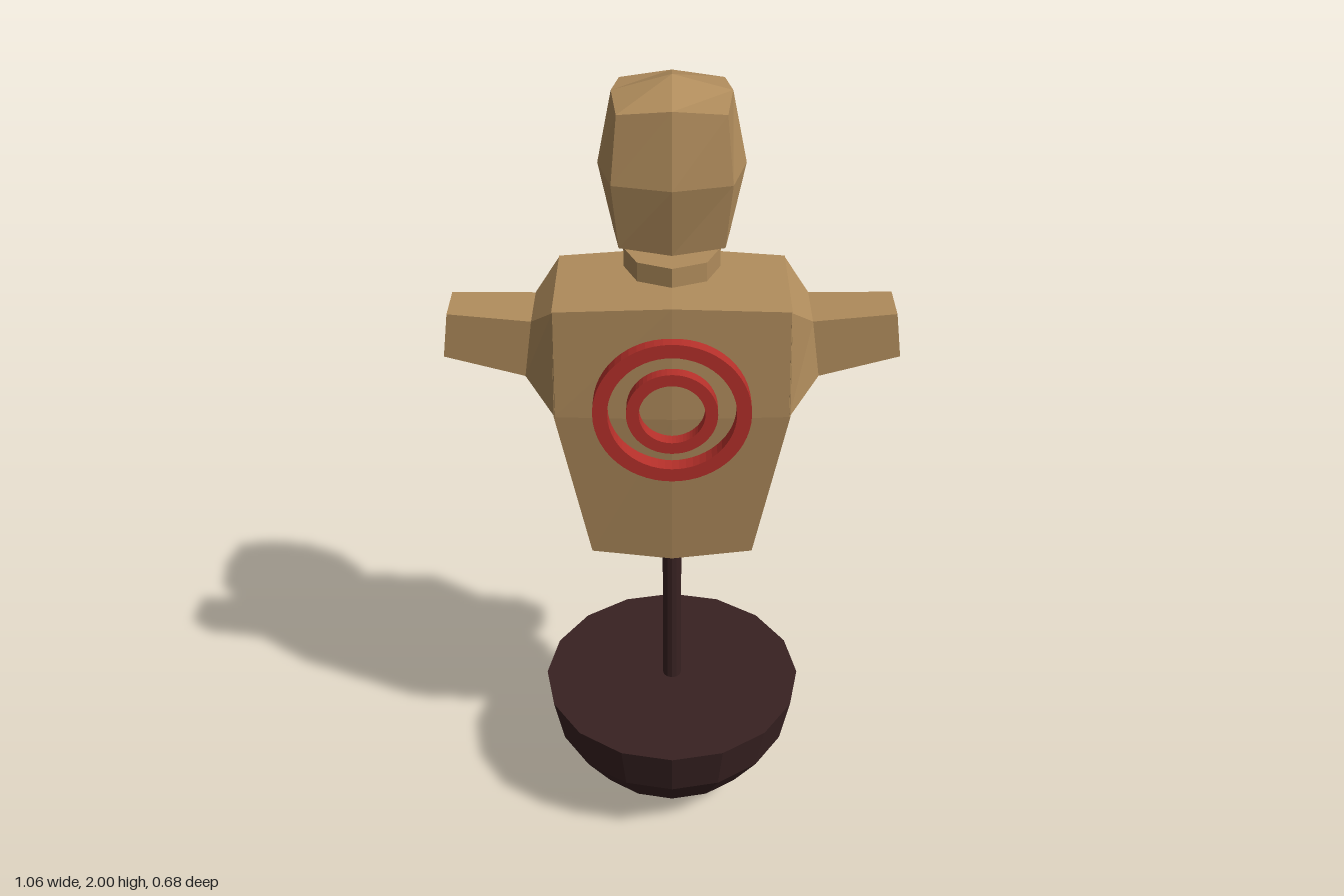
import * as THREE from 'three';

const mat = (color) => new THREE.MeshStandardMaterial({ color, flatShading: true });

// Box whose grid indices (-1, 0 or 1 on each axis) are mapped to new positions
function mappedBox(sx, sy, sz, rule) {
  const geo = new THREE.BoxGeometry(2, 2, 2, sx, sy, sz);
  const p = geo.attributes.position;
  for (let i = 0; i < p.count; i++) {
    p.setXYZ(i, ...rule(Math.round(p.getX(i)), Math.round(p.getY(i)), Math.round(p.getZ(i))));
  }
  geo.computeVertexNormals();
  return geo;
}

export function createModel() {
  const group = new THREE.Group();
  const straw = mat(0xb08c5c);
  const dark = mat(0x382222);
  const red = mat(0xb5302a);

  const add = (name, geo, material, x = 0, y = 0, z = 0) => {
    const mesh = new THREE.Mesh(geo, material);
    mesh.name = name;
    mesh.position.set(x, y, z);
    group.add(mesh);
    return mesh;
  };

  // Half-ball base with a flat lid
  const R = 0.338;
  const bowl = [];
  for (let i = 0; i <= 4; i++) {
    const a = (i * Math.PI) / 8;
    bowl.push(new THREE.Vector2(R * Math.sin(a), R * (1 - Math.cos(a))));
  }
  bowl.push(new THREE.Vector2(0, R));
  add('base', new THREE.LatheGeometry(bowl, 16), dark);

  // Pole
  add('pole', new THREE.CylinderGeometry(0.024, 0.024, 0.5, 12), dark, 0, 0.58);

  // Torso: three levels, bulging along the centre line
  const levels = [
    { w: 0.197, y: 0.83, yMid: 0.813, side: [-0.11, 0.11], mid: [-0.12, 0.12] },
    { w: 0.273, y: 1.24, yMid: 1.24, side: [-0.15, 0.145], mid: [-0.177, 0.157] },
    { w: 0.267, y: 1.51, yMid: 1.525, side: [-0.145, 0.143], mid: [-0.156, 0.157] },
  ];
  add('torso', mappedBox(2, 2, 1, (x, y, z) => {
    const l = levels[y + 1];
    const depth = x ? l.side : l.mid;
    return [x * l.w, x ? l.y : l.yMid, depth[z > 0 ? 1 : 0]];
  }), straw);

  // Arms: shoulder flare, then a tapered stub; [xBottom, yBottom, xTop, yTop, halfDepth]
  const armSections = [
    [0.27, 1.24, 0.265, 1.51, 0.146],
    [0.34, 1.308, 0.32, 1.45, 0.073],
    [0.528, 1.35, 0.513, 1.46, 0.056],
  ];
  for (const side of [1, -1]) {
    add(side > 0 ? 'leftArm' : 'rightArm', mappedBox(2, 1, 1, (x, y, z) => {
      const [xb, yb, xt, yt, d] = armSections[side * x + 1];
      return [side * (y > 0 ? xt : xb), y > 0 ? yt : yb, z * d];
    }), straw);
  }

  // Neck disc
  add('neck', new THREE.CylinderGeometry(0.11, 0.11, 0.046, 8), straw, 0, 1.577);

  // Head: cube with edges and corners drawn inwards
  const wide = [0, 0.163, 0.13, 0.116];
  const tall = [0, 0.197, 0.162, 0.15];
  add('head', mappedBox(2, 2, 2, (x, y, z) => {
    const n = Math.abs(x) + Math.abs(y) + Math.abs(z);
    return [x * wide[n], y * tall[n], z * wide[n]];
  }), straw, 0, 1.803);

  // Target rings on the chest
  const ring = (name, outer, inner) => {
    const shape = new THREE.Shape().absarc(0, 0, outer, 0, Math.PI * 2, false);
    shape.holes.push(new THREE.Path().absarc(0, 0, inner, 0, Math.PI * 2, true));
    const geo = new THREE.ExtrudeGeometry(shape, { depth: 0.045, bevelEnabled: false, curveSegments: 28 });
    add(name, geo, red, 0, 1.27, 0.14);
  };
  ring('outerTargetRing', 0.182, 0.148);
  ring('innerTargetRing', 0.105, 0.076);

  return group;
}
